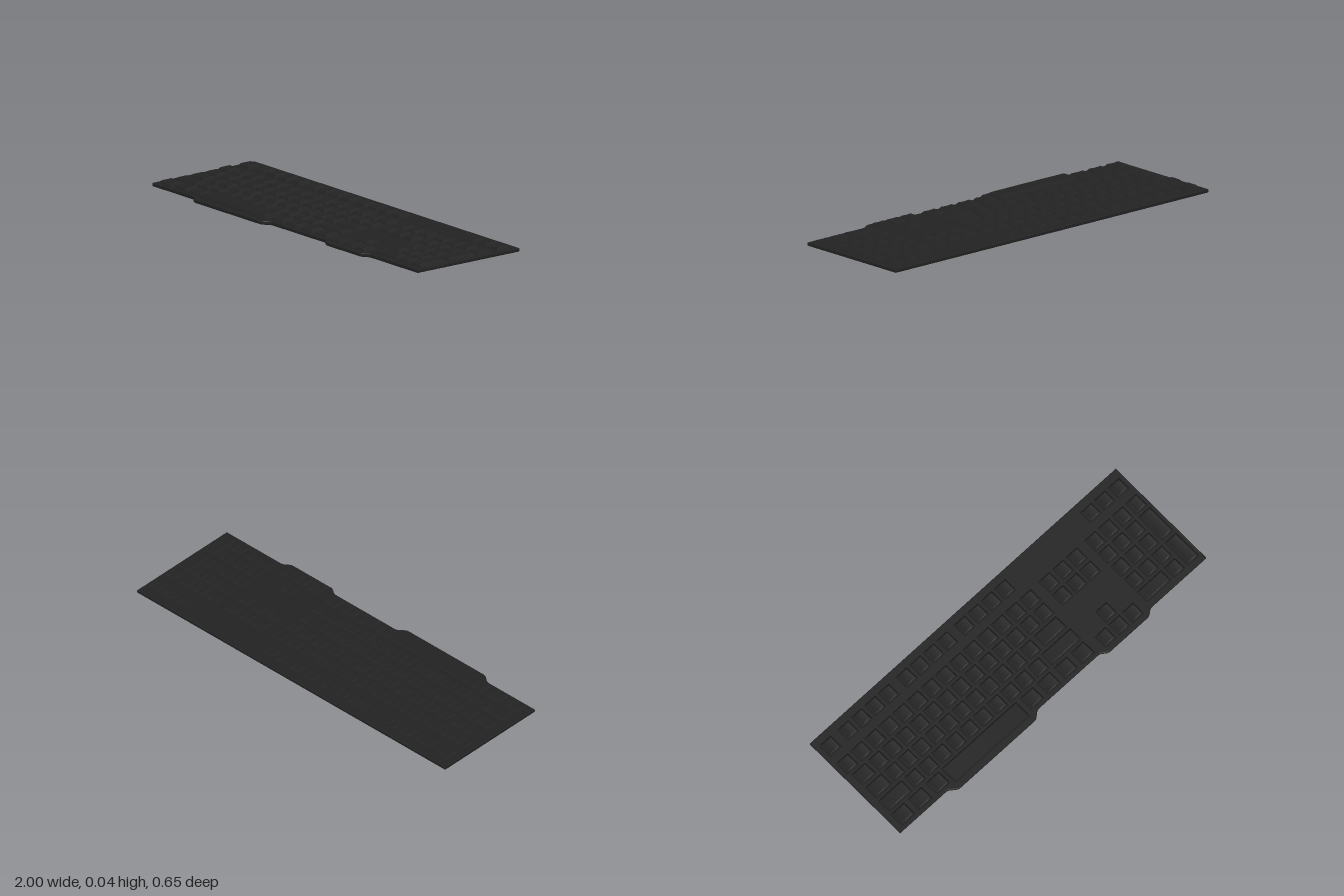
import * as THREE from 'three';

const material = new THREE.MeshStandardMaterial({ color: 0x222222, flatShading: true });
const DECK = 0.018;

// Tapered keycap with a bevelled rim and a shallow dished (or domed) top
function keycap(name, x0, x1, z0, z1, { top = 0.034, dish = 0.002 } = {}) {
  const w = x1 - x0, d = z1 - z0, bottom = DECK - 0.003;
  const geo = new THREE.BoxGeometry(w, 1, d, 6, 2, 2);
  const p = geo.attributes.position;
  for (let i = 0; i < p.count; i++) {
    const level = Math.round((p.getY(i) + 0.5) * 2);
    const inset = [0, 0.009, 0.013][level];
    const u = p.getX(i) / (w / 2);
    let y = [bottom, top - 0.004, top][level];
    if (level === 2) y -= dish * (1 - u * u);
    p.setXYZ(i, u * (w / 2 - inset), y, p.getZ(i) * (1 - (2 * inset) / d));
  }
  geo.computeVertexNormals();
  const mesh = new THREE.Mesh(geo, material);
  mesh.position.set((x0 + x1) / 2, 0, (z0 + z1) / 2);
  mesh.name = name;
  return mesh;
}

// Flat tray whose front edge has two forward lips with eased ends
function tray() {
  const back = -0.325, front = 0.293;
  const shape = new THREE.Shape();
  shape.moveTo(-1, -front);
  const lips = [[-0.70, -0.64, -0.15, -0.095, 0.325], [0.295, 0.345, 0.595, 0.645, 0.319]];
  for (const [a, b, c, d, z] of lips) {
    const ease = (xa, xb, za, zb) => {
      for (let i = 0; i <= 6; i++) {
        const t = i / 6, s = t * t * (3 - 2 * t);
        shape.lineTo(xa + (xb - xa) * t, -(za + (zb - za) * s));
      }
    };
    ease(a, b, front, z);
    ease(c, d, z, front);
  }
  shape.lineTo(1, -front);
  shape.lineTo(1, -back);
  shape.lineTo(-1, -back);
  shape.closePath();
  const bevel = 0.003;
  const geo = new THREE.ExtrudeGeometry(shape, {
    depth: DECK - 2 * bevel, bevelEnabled: true, bevelThickness: bevel,
    bevelSize: bevel, bevelOffset: -bevel, bevelSegments: 1,
  });
  geo.rotateX(-Math.PI / 2).translate(0, bevel, 0);
  const mesh = new THREE.Mesh(geo, material);
  mesh.name = 'tray';
  return mesh;
}

export function createModel() {
  const model = new THREE.Group();
  model.name = 'keyboard';
  model.add(tray());

  const section = (name) => {
    const g = new THREE.Group();
    g.name = name;
    model.add(g);
    return g;
  };
  // A run of equal keys filling x0..x1
  const run = (group, name, count, x0, x1, z0, z1, gap = 0.011) => {
    const w = (x1 - x0 - gap * (count - 1)) / count;
    for (let i = 0; i < count; i++) {
      const x = x0 + i * (w + gap);
      group.add(keycap(name, x, x + w, z0, z1));
    }
  };

  // Top row
  const topRow = section('topRow');
  run(topRow, 'escapeKey', 1, -0.98, -0.90, -0.287, -0.205);
  for (const x of [-0.863, -0.48, -0.102]) run(topRow, 'topRowKey', 4, x, x + 0.342, -0.287, -0.205);
  run(topRow, 'mediaKey', 3, 0.72, 0.98, -0.283, -0.205);

  // Main typing block
  const main = section('mainKeys');
  const L = -0.97, R = 0.292;
  run(main, 'numberKey', 14, -0.984, R, -0.168, -0.085);
  run(main, 'tabKey', 1, L, -0.875, -0.077, 0.005);
  run(main, 'letterKey', 13, -0.864, R, -0.077, 0.005);
  run(main, 'capsKey', 1, L, -0.858, 0.014, 0.096);
  run(main, 'letterKey', 11, -0.847, 0.118, 0.014, 0.096);
  run(main, 'enterKey', 1, 0.135, 0.285, 0.014, 0.096);
  run(main, 'leftShiftKey', 1, L, -0.812, 0.105, 0.187);
  run(main, 'letterKey', 10, -0.801, 0.083, 0.105, 0.187);
  run(main, 'rightShiftKey', 1, 0.094, R, 0.105, 0.187);
  run(main, 'modifierKey', 3, -0.975, -0.655, 0.195, 0.28, 0.02);
  run(main, 'modifierKey', 4, -0.131, R, 0.195, 0.28, 0.02);
  main.add(keycap('spaceBar', -0.645, -0.15, 0.195, 0.298, { top: 0.036, dish: -0.0005 }));

  // Navigation and arrow cluster
  const nav = section('navigationKeys');
  for (const z of [-0.168, -0.077]) run(nav, 'navigationKey', 3, 0.338, 0.596, z, z + 0.082);
  run(nav, 'upArrowKey', 1, 0.427, 0.507, 0.127, 0.208);
  run(nav, 'arrowKey', 3, 0.338, 0.596, 0.216, 0.297);

  // Number pad
  const pad = section('numberPad');
  run(pad, 'padKey', 4, 0.638, 0.985, -0.168, -0.085);
  for (const z of [-0.077, 0.012, 0.102]) run(pad, 'padKey', 3, 0.638, 0.893, z, z + 0.08);
  run(pad, 'padZeroKey', 1, 0.638, 0.804, 0.19, 0.267);
  run(pad, 'padPointKey', 1, 0.815, 0.893, 0.19, 0.267);
  run(pad, 'padPlusKey', 1, 0.904, 0.985, -0.077, 0.093);
  run(pad, 'padEnterKey', 1, 0.904, 0.985, 0.102, 0.267);

  return model;
}
